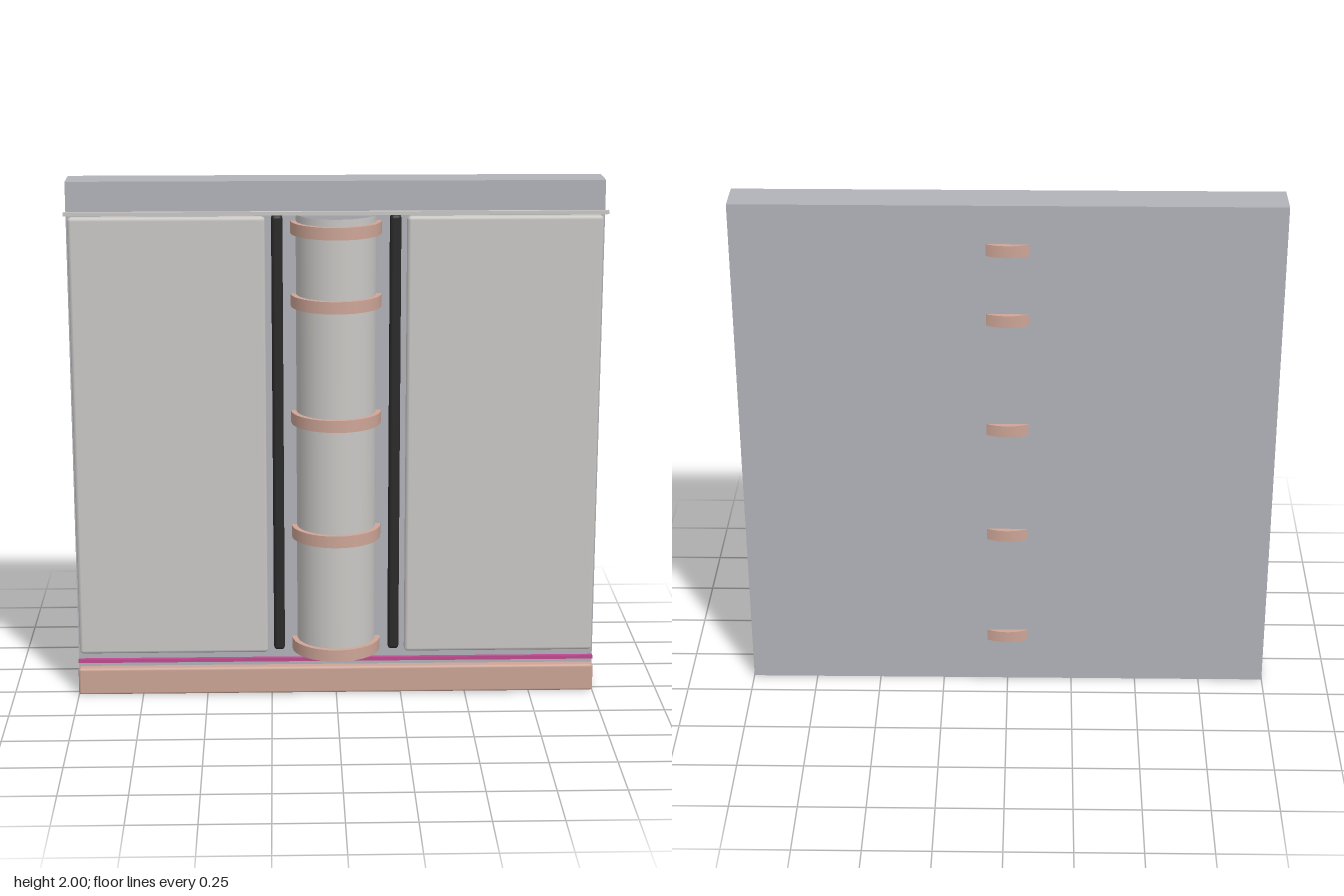
import * as THREE from 'three';
import { RoundedBoxGeometry } from 'three/addons/geometries/RoundedBoxGeometry.js';

const mat = (name, color, side = THREE.FrontSide) => {
  const m = new THREE.MeshStandardMaterial({ color, side });
  m.name = name;
  return m;
};

export function createModel() {
  const model = new THREE.Group();
  model.name = 'wallPanel';
  const wallGrey = mat('wall grey', 0xb2b2ba);
  const paleGrey = mat('pale grey', 0xcac8c5, THREE.DoubleSide);
  const copper = mat('copper', 0xcda597);
  const black = mat('black', 0x2a2a2a);
  const magenta = mat('magenta', 0xc04a90);

  const add = (name, geometry, material, x, y, z) => {
    const mesh = new THREE.Mesh(geometry, material);
    mesh.name = name;
    mesh.position.set(x, y, z);
    model.add(mesh);
    return mesh;
  };

  // Backing wall
  add('wall', new THREE.BoxGeometry(2, 2, 0.15), wallGrey, 0, 1, -0.075);

  // Column: an open pipe set halfway into the wall, with solid bands
  add('column', new THREE.CylinderGeometry(0.15, 0.15, 1.7, 32, 1, true), paleGrey, 0, 1.03, 0);
  for (const y of [0.2, 0.655, 1.105, 1.555, 1.83]) {
    add('columnBand', new THREE.CylinderGeometry(0.17, 0.17, 0.046, 32), copper, 0, y, 0);
  }

  // Side panels and dark posts, mirrored
  for (const side of [-1, 1]) {
    add('sidePanel', new RoundedBoxGeometry(0.73, 1.705, 0.04, 1, 0.014), paleGrey, side * 0.628, 1.02, 0.021);
    add('post', new RoundedBoxGeometry(0.042, 1.7, 0.045, 2, 0.014), black, side * 0.22, 1.03, 0.0225);
  }

  // Baseboard, accent strip and front rail
  add('baseboard', new RoundedBoxGeometry(2, 0.108, 0.044, 1, 0.01), copper, 0, 0.056, 0.023);
  add('accentStrip', new THREE.BoxGeometry(2, 0.014, 0.016), magenta, 0, 0.132, 0.012);
  add('rail', new THREE.BoxGeometry(2, 0.014, 0.016), paleGrey, 0, 1.896, 0.098);

  return model;
}
